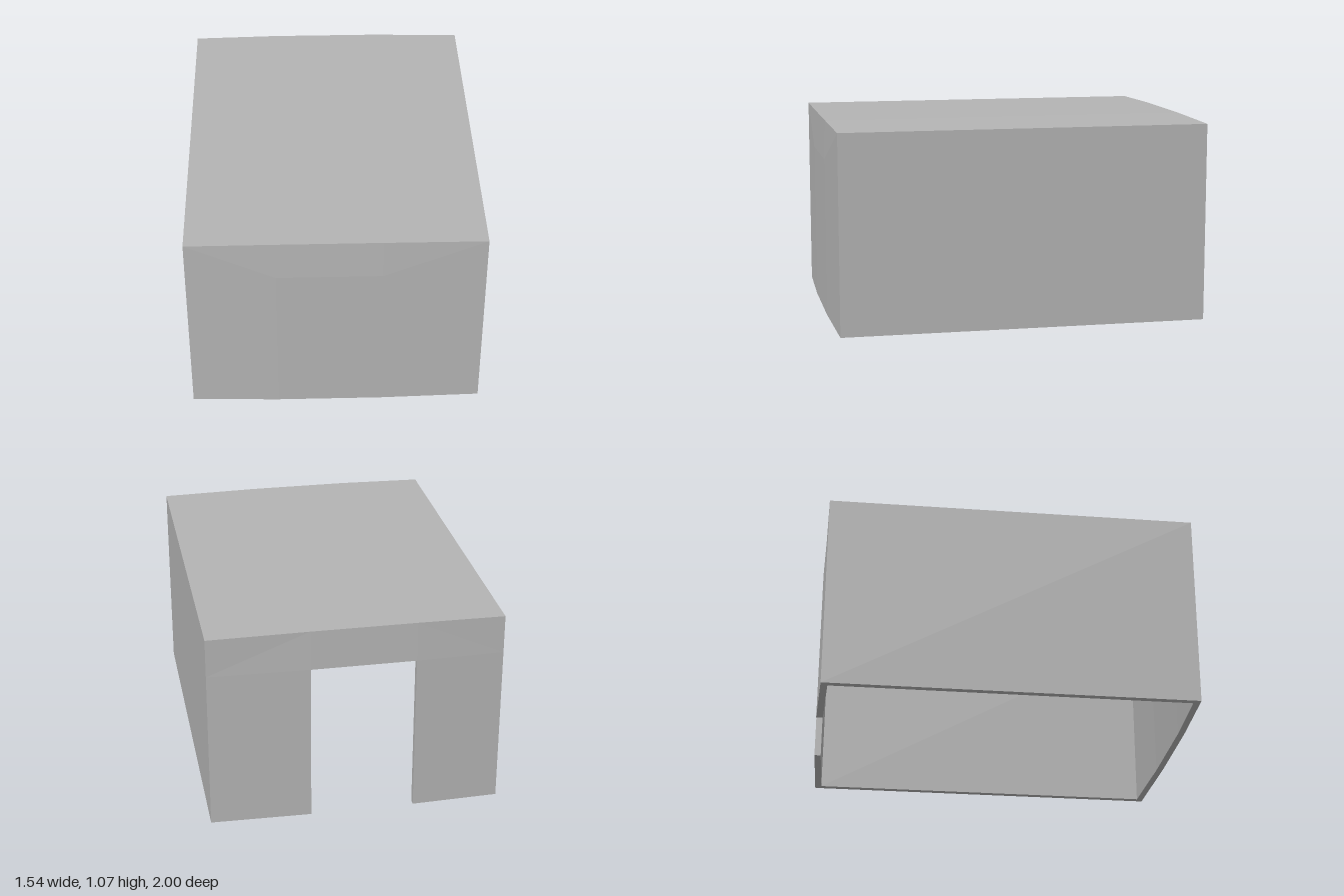
import * as THREE from 'three';

const T = 0.035;                          // wall thickness
const DOOR_TOP = 0.86;
const COLS = [-0.77, -0.31, 0.24, 0.77];  // wall corners and door jambs

// Outer skin: gently bowed end walls that lean in above the door line
function outer(i, row) {
  const mid = i === 1 || i === 2;
  const y = [0, DOOR_TOP, mid ? 1.071 : 1.065][row];
  const z = mid ? (row === 2 ? 0.991 : 0.999) : 0.985;
  return [COLS[i], y, z];
}

// Inner skin: the outer one moved in by the wall thickness
function inner(i, row) {
  const [x, y, z] = outer(i, row);
  const inset = i === 0 ? T : i === 3 ? -T : 0;
  return [x + inset, row === 2 ? 1.032 : y, z - T];
}

const flipZ = ([x, y, z]) => [x, y, -z];

// Collects four-sided faces, with corners counter-clockwise from outside
function faceSet() {
  const positions = [];
  return {
    quad(a, b, c, d, flip = false) {
      const p = flip ? [d, c, b, a].map(flipZ) : [a, b, c, d];
      for (const k of [0, 1, 2, 0, 2, 3]) positions.push(...p[k]);
    },
    mesh(name, material) {
      const geometry = new THREE.BufferGeometry();
      geometry.setAttribute('position', new THREE.Float32BufferAttribute(positions, 3));
      geometry.computeVertexNormals();
      const mesh = new THREE.Mesh(geometry, material);
      mesh.name = name;
      return mesh;
    },
  };
}

// End wall, optionally with a doorway in the middle column
function endWall(name, material, back, door) {
  const f = faceSet();
  for (let i = 0; i < 3; i++) {
    for (let r = 0; r < 2; r++) {
      if (door && i === 1 && r === 0) continue;
      const corners = (at) => [at(i, r), at(i + 1, r), at(i + 1, r + 1), at(i, r + 1)];
      const [a, b, c, d] = corners(outer);
      // the crease runs from the roof corner towards the middle
      if (i === 0) f.quad(b, c, d, a, back);
      else f.quad(a, b, c, d, back);
      const [e, g, h, k] = corners(inner);
      f.quad(k, h, g, e, back);
    }
    // bottom rim
    if (!(door && i === 1)) f.quad(inner(i, 0), inner(i + 1, 0), outer(i + 1, 0), outer(i, 0), back);
  }
  if (door) {
    // jambs and lintel
    f.quad(outer(1, 0), inner(1, 0), inner(1, 1), outer(1, 1), back);
    f.quad(inner(2, 0), outer(2, 0), outer(2, 1), inner(2, 1), back);
    f.quad(inner(1, 1), inner(2, 1), outer(2, 1), outer(1, 1), back);
  }
  return f.mesh(name, material);
}

// Flat side wall with inner face and bottom rim
function sideWall(name, material, right) {
  const f = faceSet();
  const i = right ? 3 : 0;
  const add = (a, b, c, d) => (right ? f.quad(a, b, c, d) : f.quad(d, c, b, a));
  const [ob, ot, ib, it] = [outer(i, 0), outer(i, 2), inner(i, 0), inner(i, 2)];
  add(ob, flipZ(ob), flipZ(ot), ot);
  add(it, flipZ(it), flipZ(ib), ib);
  add(ib, flipZ(ib), flipZ(ob), ob);
  return f.mesh(name, material);
}

// Roof top and ceiling
function roof(material) {
  const f = faceSet();
  for (let i = 0; i < 3; i++) {
    const [a, b] = [outer(i, 2), outer(i + 1, 2)];
    f.quad(a, b, flipZ(b), flipZ(a));
    const [c, d] = [inner(i, 2), inner(i + 1, 2)];
    f.quad(flipZ(c), flipZ(d), d, c);
  }
  return f.mesh('roof', material);
}

export function createModel() {
  const grey = new THREE.MeshStandardMaterial({ color: 0xb4b4b4 });
  grey.name = 'plainGrey';
  const group = new THREE.Group();
  group.name = 'hut';
  group.add(
    endWall('frontWall', grey, false, false),
    endWall('backWallWithDoorway', grey, true, true),
    sideWall('leftWall', grey, true),
    sideWall('rightWall', grey, false),
    roof(grey),
  );
  return group;
}
